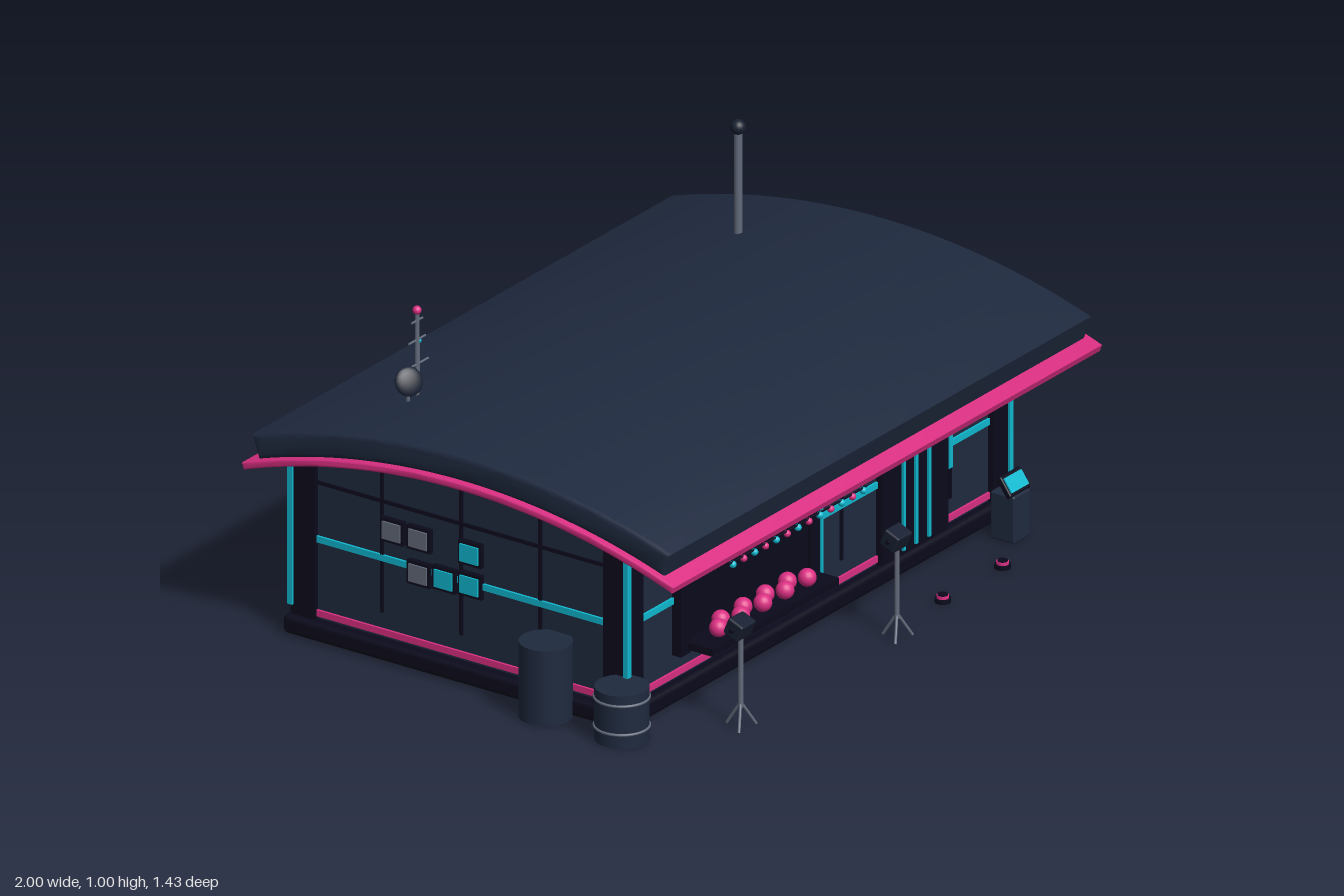
import * as THREE from 'three';
import { toCreasedNormals } from 'three/addons/utils/BufferGeometryUtils.js';
import { RoundedBoxGeometry } from 'three/addons/geometries/RoundedBoxGeometry.js';

const mat = (name, color) => Object.assign(new THREE.MeshStandardMaterial({ color }), { name });

export function createModel() {
  const navy = mat('navy panel', 0x1f2a3f), dark = mat('dark frame', 0x0b0a1c);
  const pink = mat('pink neon', 0xdb2f83), cyan = mat('cyan neon', 0x0fb9d0);
  const grey = mat('grey metal', 0x626a7a), tyre = mat('dark slate', 0x182031);
  const root = new THREE.Group();
  root.name = 'kioskBuilding';
  const CX = -0.013, CZ = -0.095; // centre of the building

  const add = (parent, name, geo, m, x = 0, y = 0, z = 0) => {
    const mesh = new THREE.Mesh(geo, m);
    mesh.name = name;
    mesh.position.set(x, y, z);
    parent.add(mesh);
    return mesh;
  };
  const box = (p, name, m, w, h, d, x, y, z) => add(p, name, new THREE.BoxGeometry(w, h, d), m, x, y, z);
  const rbox = (p, name, m, w, h, d, x, y, z, r = 0.01) =>
    add(p, name, new RoundedBoxGeometry(w, h, d, 2, r), m, x, y, z);
  const cyl = (p, name, m, r, h, x, y, z, r2 = r) =>
    add(p, name, new THREE.CylinderGeometry(r2, r, h, 24), m, x, y, z);
  const ball = (p, name, m, r, x, y, z) => add(p, name, new THREE.SphereGeometry(r, 18, 12), m, x, y, z);
  const rod = (p, name, m, r, a, b) => {
    const A = new THREE.Vector3(...a), B = new THREE.Vector3(...b), d = B.clone().sub(A);
    const mesh = cyl(p, name, m, r, d.length(), 0, 0, 0);
    mesh.position.copy(A).add(B).multiplyScalar(0.5);
    mesh.quaternion.setFromUnitVectors(new THREE.Vector3(0, 1, 0), d.normalize());
    return mesh;
  };
  const group = (name, x = 0, y = 0, z = 0, parent = root) => {
    const g = new THREE.Group();
    g.name = name;
    g.position.set(x, y, z);
    parent.add(g);
    return g;
  };

  // Arched pieces: a z-y outline extruded along x
  const R = 2.04, AZ = -0.025, AY = 0.605 - R;
  const arc = (r, a) => Array.from({ length: 41 }, (_, i) => {
    const t = -a + (2 * a * i) / 40;
    return new THREE.Vector2(AZ + r * Math.sin(t), AY + r * Math.cos(t));
  });
  const extrudeX = (pts, width, bevel) => {
    const depth = width - 2 * bevel;
    const geo = new THREE.ExtrudeGeometry(new THREE.Shape(pts), {
      depth, bevelEnabled: bevel > 0, bevelSize: bevel, bevelThickness: bevel, bevelOffset: -bevel, bevelSegments: 3,
    });
    geo.translate(0, 0, -depth / 2).rotateY(-Math.PI / 2);
    return toCreasedNormals(geo, 0.6);
  };
  const band = (r0, r1, a) => [...arc(r0, a), ...arc(r1, a).reverse()];
  add(root, 'roof', extrudeX(band(R + 0.02, R + 0.09, 0.322), 1.91, 0.012), navy, CX);
  add(root, 'roofTrim', extrudeX(band(R, R + 0.02, 0.345), 1.935, 0.004), pink, CX);

  // Base, walls with an arched top, corner posts and corner lights
  rbox(root, 'base', dark, 1.77, 0.053, 1.11, CX, 0.031, CZ, 0.015);
  const wallTop = Array.from({ length: 25 }, (_, i) => {
    const z = 0.43 - (1.05 * i) / 24;
    return new THREE.Vector2(z, AY + Math.sqrt(R * R - (z - AZ) ** 2) + 0.004);
  });
  const wallPts = [new THREE.Vector2(-0.62, 0.04), new THREE.Vector2(0.43, 0.04), ...wallTop];
  add(root, 'walls', extrudeX(wallPts, 1.7, 0), navy, CX);
  for (const sx of [-1, 1]) for (const sz of [-1, 1]) {
    const top = sz > 0 ? 0.55 : 0.518;
    box(root, 'cornerPost', dark, 0.075, top - 0.05, 0.078, CX + sx * 0.826, (top + 0.05) / 2, CZ + sz * 0.503);
    box(root, 'cornerLight', cyan, 0.016, top - 0.09, 0.016, CX + sx * 0.862, (top + 0.08) / 2, CZ + sz * 0.541);
  }

  // Panel seams and neon lines on each wall
  const dress = (name, len, dist, angle, seams, step, top) => {
    const g = group(name, CX, 0, CZ);
    g.rotation.y = angle;
    box(g, 'neonLine', cyan, len, 0.018, 0.014, 0, 0.287, dist);
    box(g, 'skirtLine', pink, len, 0.018, 0.014, 0, 0.075, dist);
    box(g, 'panelSeam', dark, len, 0.01, 0.01, 0, 0.449, dist);
    for (let i = 0; i < seams; i++)
      box(g, 'panelSeam', dark, 0.01, top - 0.13, 0.012, (i - (seams - 1) / 2) * step, (top + 0.13) / 2, dist);
  };
  dress('frontWall', 1.59, 0.525, 0, 6, 0.245, 0.54);
  dress('backWall', 1.59, 0.525, Math.PI, 6, 0.245, 0.5);
  dress('leftWall', 0.93, 0.85, Math.PI / 2, 3, 0.255, 0.555);
  dress('rightWall', 0.93, 0.85, -Math.PI / 2, 3, 0.255, 0.555);

  // Serving window, counter, raised flap and bunting
  const win = group('servingWindow');
  box(win, 'windowPanel', dark, 0.63, 0.31, 0.02, -0.335, 0.285, 0.44);
  for (const x of [-0.628, -0.042]) box(win, 'windowPost', dark, 0.045, 0.3, 0.02, x, 0.28, 0.45);
  box(win, 'counter', dark, 0.57, 0.022, 0.1, -0.335, 0.153, 0.49);
  for (let i = 0; i < 9; i++)
    ball(win, 'stockBall', pink, 0.025, -0.545 + i * 0.05, 0.19, i % 2 ? 0.477 : 0.505);
  box(win, 'flap', cyan, 0.64, 0.016, 0.178, -0.338, 0.46, 0.532).rotation.x = -0.32;
  for (let i = 0; i < 13; i++)
    ball(win, 'bulb', i % 2 ? pink : cyan, 0.01, -0.63 + i * 0.049, 0.43, 0.612);
  rod(win, 'bulbCord', dark, 0.003, [-0.65, 0.437, 0.612], [-0.03, 0.437, 0.612]);
  box(win, 'neonEdge', cyan, 0.01, 0.27, 0.01, -0.02, 0.24, 0.46);
  box(win, 'neonFoot', cyan, 0.055, 0.015, 0.01, -0.043, 0.115, 0.46);

  // Entrance with neon bars, sign and door control
  const door = group('entrance');
  box(door, 'doorPanel', dark, 0.3, 0.41, 0.024, 0.42, 0.235, 0.437);
  for (const x of [0.364, 0.42, 0.478]) box(door, 'doorBar', cyan, 0.01, 0.29, 0.008, x, 0.215, 0.452);
  box(door, 'signTrim', pink, 0.38, 0.034, 0.016, 0.42, 0.48, 0.438);
  box(door, 'signFace', dark, 0.365, 0.022, 0.008, 0.42, 0.482, 0.445);
  box(door, 'doorControl', cyan, 0.016, 0.11, 0.014, 0.585, 0.28, 0.44);

  // Left side when facing it: round fan, louvre and two wheels
  const fan = cyl(root, 'fan', dark, 0.08, 0.03, 0.845, 0.385, -0.285);
  fan.rotation.z = Math.PI / 2;
  for (const r of [0.074, 0.05])
    add(root, 'fanRing', new THREE.TorusGeometry(r, 0.006, 8, 32), dark, 0.861, 0.385, -0.285).rotation.y = Math.PI / 2;
  box(root, 'louvreFrame', dark, 0.014, 0.085, 0.122, 0.84, 0.195, 0.123);
  for (let i = 0; i < 4; i++) box(root, 'louvreSlat', grey, 0.016, 0.009, 0.112, 0.844, 0.167 + i * 0.019, 0.123);
  for (const z of [-0.178, -0.393]) {
    const wheel = group('wheel', 0.97, 0.072, z);
    wheel.rotation.z = -Math.PI / 2;
    const prof = [[0, -0.026], [0.058, -0.026], [0.067, -0.018], [0.067, 0.018], [0.058, 0.026], [0, 0.026]];
    const geo = new THREE.LatheGeometry(prof.map(p => new THREE.Vector2(...p)), 32);
    add(wheel, 'tyre', toCreasedNormals(geo, 0.5), tyre);
    cyl(wheel, 'hub', pink, 0.04, 0.058, 0, 0, 0);
  }

  // Wall of small screens
  for (const [z, y, m] of [[-0.31, 0.375, grey], [-0.225, 0.375, grey], [-0.06, 0.375, cyan],
    [-0.225, 0.275, grey], [-0.143, 0.28, cyan], [-0.06, 0.285, cyan]]) {
    box(root, 'screenFrame', dark, 0.02, 0.068, 0.074, -0.868, y, z);
    box(root, 'screen', m, 0.006, 0.05, 0.058, -0.88, y, z);
  }

  // Barrels
  cyl(root, 'tallBarrel', navy, 0.072, 0.215, -0.925, 0.11, 0.22);
  cyl(root, 'lowBarrel', navy, 0.073, 0.15, -0.925, 0.076, 0.465);
  for (const y of [0.04, 0.122])
    add(root, 'barrelHoop', new THREE.TorusGeometry(0.073, 0.004, 8, 32), grey, -0.925, y, 0.465).rotation.x = Math.PI / 2;

  // Back: long dark window and ladder
  box(root, 'backWindow', dark, 0.89, 0.16, 0.025, 0.105, 0.385, -0.625);
  const ladder = group('ladder', -0.74, 0, -0.655);
  for (const x of [-0.028, 0.028]) box(ladder, 'ladderRail', grey, 0.008, 0.45, 0.008, x, 0.28, 0);
  for (let i = 0; i < 9; i++) box(ladder, 'ladderRung', grey, 0.056, 0.007, 0.007, 0, 0.09 + i * 0.046, 0);

  // Floodlights on tripods
  for (const x of [-0.69, 0.015]) {
    const lamp = group('floodlight', x, 0, 0.68);
    rod(lamp, 'lampPole', grey, 0.007, [0, 0.06, 0], [0, 0.27, 0]);
    for (let i = 0; i < 3; i++) {
      const a = Math.PI / 6 + (i * Math.PI * 2) / 3;
      rod(lamp, 'lampLeg', grey, 0.004, [0, 0.075, 0], [0.045 * Math.cos(a), 0.005, 0.045 * Math.sin(a)]);
    }
    const head = group('lampHead', 0, 0.29, -0.003, lamp);
    head.rotation.x = 0.4;
    rbox(head, 'lampBody', tyre, 0.066, 0.05, 0.05, 0, 0, 0, 0.006);
    rod(head, 'lampYoke', dark, 0.006, [-0.042, 0, 0], [0.042, 0, 0]);
  }

  // Ground pucks
  for (const x of [0.28, 0.55]) {
    cyl(root, 'puckBase', dark, 0.022, 0.012, x, 0.007, 0.638);
    cyl(root, 'puckGlow', pink, 0.017, 0.008, x, 0.017, 0.638);
    cyl(root, 'puckCap', dark, 0.014, 0.004, x, 0.022, 0.638);
  }

  // Order terminal
  const term = group('terminal', 0.722, 0, 0.54);
  rbox(term, 'terminalBody', navy, 0.075, 0.135, 0.078, 0, 0.07, 0, 0.006);
  const top = group('terminalTop', 0, 0.16, 0.01, term);
  top.rotation.x = -0.62;
  rbox(top, 'terminalFrame', dark, 0.092, 0.062, 0.018, 0, 0, 0, 0.005);
  box(top, 'terminalScreen', cyan, 0.078, 0.044, 0.006, 0, 0, 0.01);

  // Roof: flue, masts and dish
  cyl(root, 'flue', grey, 0.011, 0.3, 0.67, 0.82, -0.3);
  ball(root, 'flueCap', tyre, 0.021, 0.67, 0.98, -0.3);
  rod(root, 'mast', grey, 0.006, [-0.645, 0.64, -0.395], [-0.645, 0.9, -0.395]);
  ball(root, 'mastLight', pink, 0.012, -0.645, 0.905, -0.395);
  for (const [y, w] of [[0.75, 0.1], [0.82, 0.075], [0.875, 0.05]])
    rod(root, 'mastArm', grey, 0.003, [-0.645 - w / 2, y, -0.395], [-0.645 + w / 2, y, -0.395]);
  rod(root, 'smallMast', grey, 0.004, [-0.6, 0.64, -0.422], [-0.6, 0.79, -0.422]);
  ball(root, 'smallMastLight', cyan, 0.008, -0.6, 0.795, -0.422);
  rod(root, 'dishStand', grey, 0.005, [-0.695, 0.64, -0.39], [-0.695, 0.725, -0.385]);
  const dish = add(root, 'dish', new THREE.SphereGeometry(0.04, 24, 10), tyre, -0.703, 0.725, -0.38);
  dish.scale.z = 0.3;
  dish.rotation.set(-0.5, -0.5, 0);
  return root;
}
